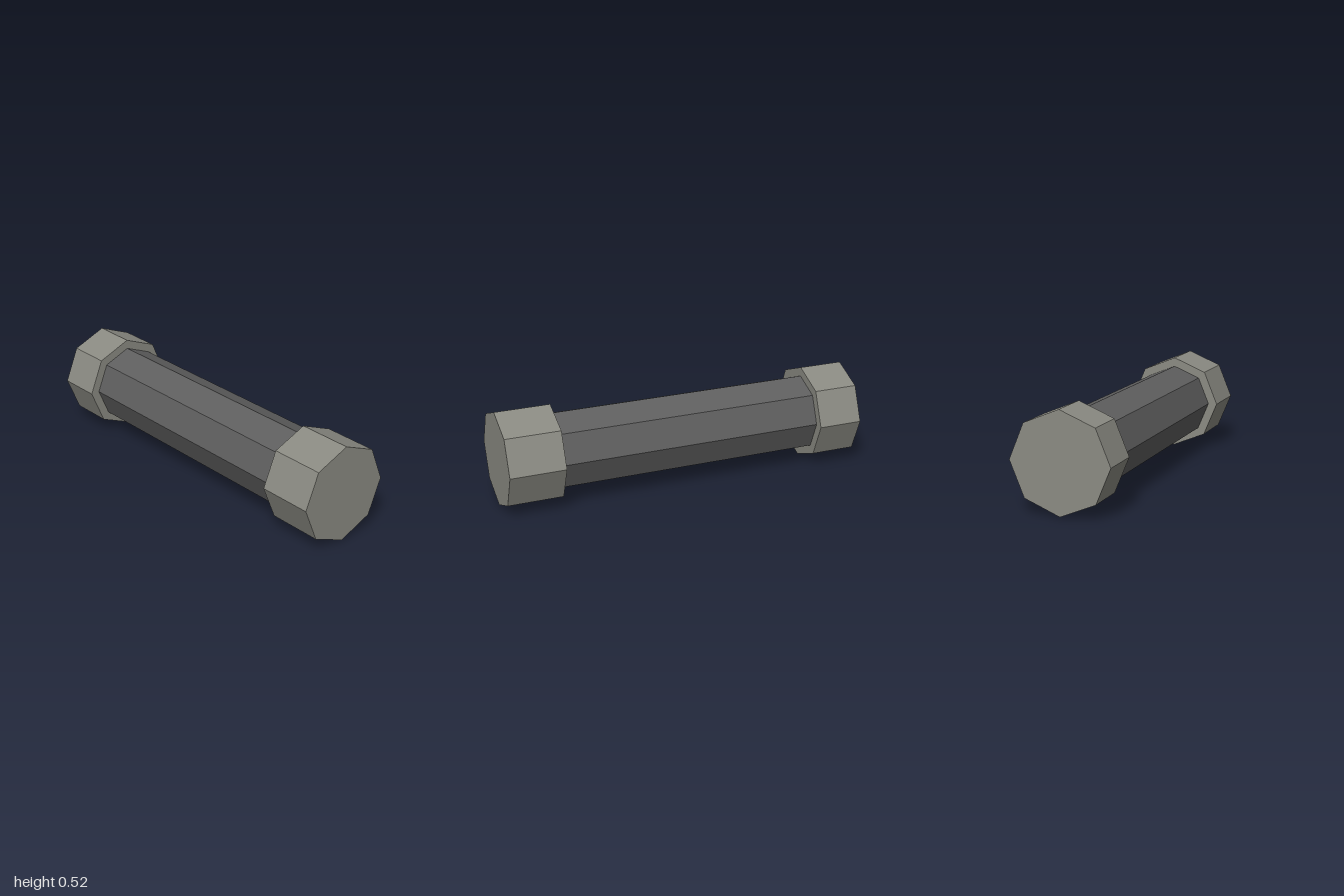
import * as THREE from 'three';

const SIDES = 8;
const CAP_RADIUS = 0.2625;
const BODY_RADIUS = 0.212;

// Octagonal prism lying along x, with one edge pointing straight up
function prism(name, radius, x0, x1, material) {
  const geometry = new THREE.CylinderGeometry(radius, radius, x1 - x0, SIDES).toNonIndexed();
  geometry.rotateZ(-Math.PI / 2);
  geometry.computeVertexNormals(); // flat facets
  const mesh = new THREE.Mesh(geometry, material);
  mesh.name = name;
  mesh.position.set((x0 + x1) / 2, CAP_RADIUS, 0);
  return mesh;
}

export function createModel() {
  const capGrey = new THREE.MeshStandardMaterial({ color: 0x8a8a82 });
  capGrey.name = 'warm grey';
  const bodyGrey = new THREE.MeshStandardMaterial({ color: 0x5e5e5e });
  bodyGrey.name = 'dark grey';

  const model = new THREE.Group();
  model.name = 'cappedRod';
  model.add(
    prism('body', BODY_RADIUS, -0.76, 0.71, bodyGrey),
    // The left cap is slightly longer than the right one
    prism('leftCap', CAP_RADIUS, 0.7, 1, capGrey),
    prism('rightCap', CAP_RADIUS, -1, -0.755, capGrey),
  );
  return model;
}
